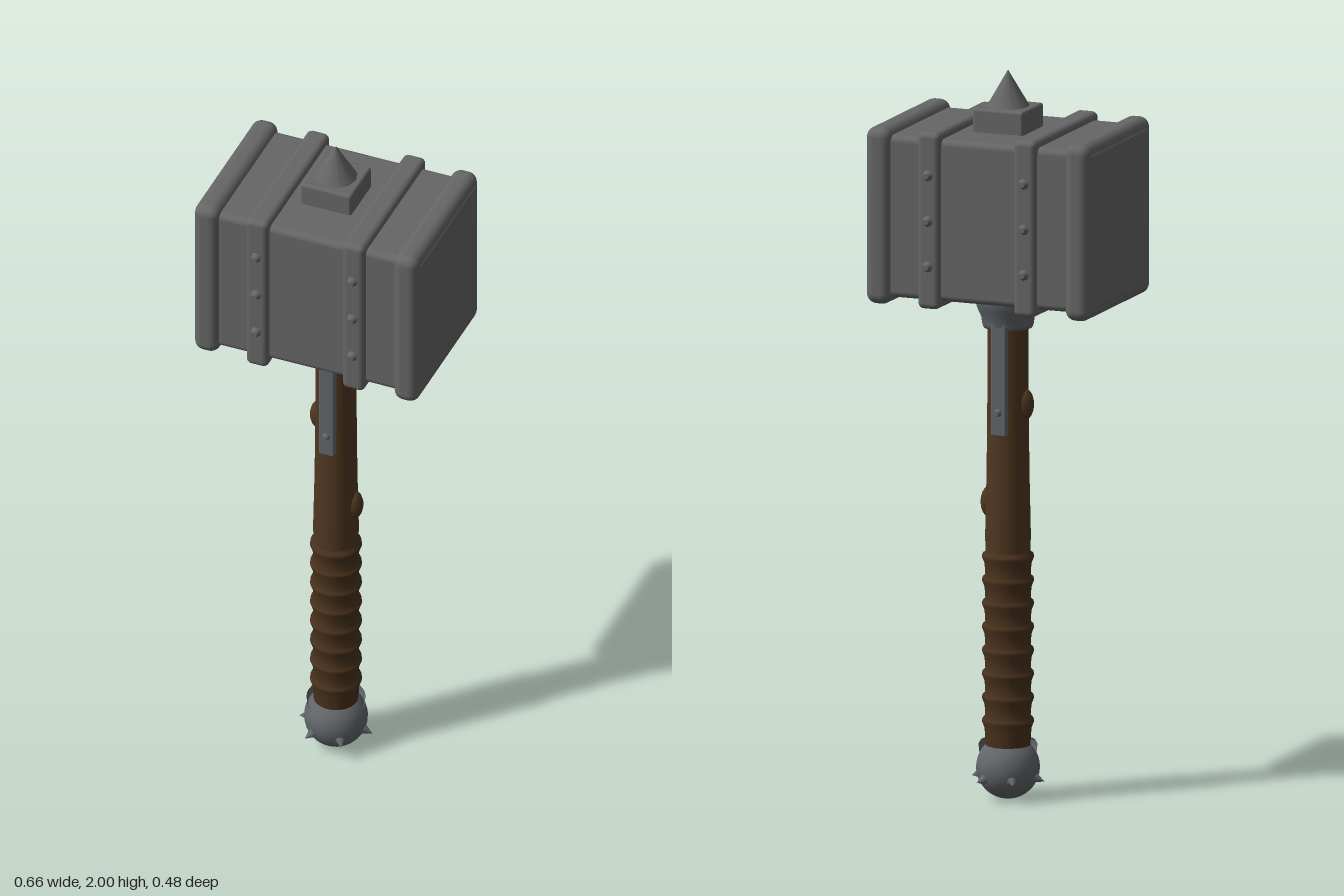
import * as THREE from 'three';
import { RoundedBoxGeometry } from 'three/addons/geometries/RoundedBoxGeometry.js';

const material = (name, color) => {
  const m = new THREE.MeshStandardMaterial({ color });
  m.name = name;
  return m;
};

export function createModel() {
  const steel = material('dark steel', 0x666666);
  const fittings = material('blue grey steel', 0x62666a);
  const wood = material('brown wood', 0x4f3720);
  const leather = material('brown leather', 0x4a321c);

  const model = new THREE.Group();
  model.name = 'warHammer';

  const add = (name, geometry, mat, x = 0, y = 0, z = 0, parent = model) => {
    const mesh = new THREE.Mesh(geometry, mat);
    mesh.name = name;
    mesh.position.set(x, y, z);
    parent.add(mesh);
    return mesh;
  };
  const block = (w, h, d, r) => new RoundedBoxGeometry(w, h, d, 4, r);
  const lathe = (points, sides = 32) =>
    new THREE.LatheGeometry(points.map(([r, y]) => new THREE.Vector2(r, y)), sides);

  // Hammer head: core block, thick end plates and riveted bands
  const head = new THREE.Group();
  head.name = 'head';
  model.add(head);
  const midY = 1.615;
  add('headCore', block(0.54, 0.445, 0.41, 0.018), steel, 0, midY, 0, head);
  for (const side of [-1, 1]) {
    add('endPlate', block(0.072, 0.485, 0.447, 0.028), steel, side * 0.29, midY, 0, head);
    add('strikingFace', block(0.03, 0.43, 0.39, 0.008), steel, side * 0.314, midY, 0, head);
    add('band', block(0.064, 0.485, 0.447, 0.016), steel, side * 0.14, midY, 0, head);
    for (const face of [-1, 1]) {
      for (const y of [1.49, 1.615, 1.74]) {
        const rivet = add('bandRivet', new THREE.CylinderGeometry(0.008, 0.016, 0.016, 8),
          steel, side * 0.14, y, face * 0.23, head);
        rivet.rotation.x = face * Math.PI / 2;
      }
    }
  }

  // Top plate and spike
  add('spikeBase', block(0.147, 0.075, 0.147, 0.008), steel, 0, 1.864, 0, head);
  add('topSpike', new THREE.ConeGeometry(0.06, 0.102, 12), steel, 0, 1.949, 0, head);

  // Flared collar under the head
  add('collar', lathe([[0, 1.295], [0.066, 1.295], [0.07, 1.305], [0.071, 1.32],
    [0.082, 1.345], [0.09, 1.37], [0.09, 1.4]]), fittings);

  // Wooden shaft with two knots
  add('shaft', lathe([[0.06, 0.66], [0.062, 0.72], [0.058, 0.9], [0.056, 1.1], [0.056, 1.31]], 24), wood);
  for (const [x, y] of [[-0.048, 1.085], [0.052, 0.81]]) {
    add('knot', new THREE.SphereGeometry(0.026, 14, 10), wood, x, y, 0).scale.set(1, 1.7, 1);
  }

  // Leather grip: overlapping wraps, each ending in a ridge
  const wraps = [[0.06, 0.14]];
  for (let i = 0; i < 8; i++) {
    const y = 0.215 + i * 0.0645;
    wraps.push([0.063, y - 0.022], [0.07, y - 0.004], [0.069, y + 0.004], [0.061, y + 0.012]);
  }
  wraps.push([0.058, 0.69]);
  add('grip', lathe(wraps), leather);

  // Metal straps running down the shaft
  for (const face of [-1, 1]) {
    add('strap', block(0.044, 0.31, 0.024, 0.005), fittings, 0, 1.16, face * 0.057);
    const rivet = add('strapRivet', new THREE.CylinderGeometry(0.006, 0.012, 0.012, 8),
      fittings, 0, 1.07, face * 0.073);
    rivet.rotation.x = face * Math.PI / 2;
  }

  // Pommel ball with collar and a ring of small spikes
  add('pommelCollar', lathe([[0.06, 0.158], [0.074, 0.158], [0.079, 0.15], [0.078, 0.13], [0.07, 0.12]]), fittings);
  add('pommel', new THREE.SphereGeometry(0.086, 28, 20), fittings, 0, 0.086, 0);
  const up = new THREE.Vector3(0, 1, 0);
  for (let i = 0; i < 6; i++) {
    const a = i * Math.PI / 3;
    const out = new THREE.Vector3(Math.cos(a), -0.3, Math.sin(a)).normalize();
    const spike = add('pommelSpike', new THREE.ConeGeometry(0.018, 0.036, 8), fittings,
      out.x * 0.093, 0.086 + out.y * 0.093, out.z * 0.093);
    spike.quaternion.setFromUnitVectors(up, out);
  }
  return model;
}
